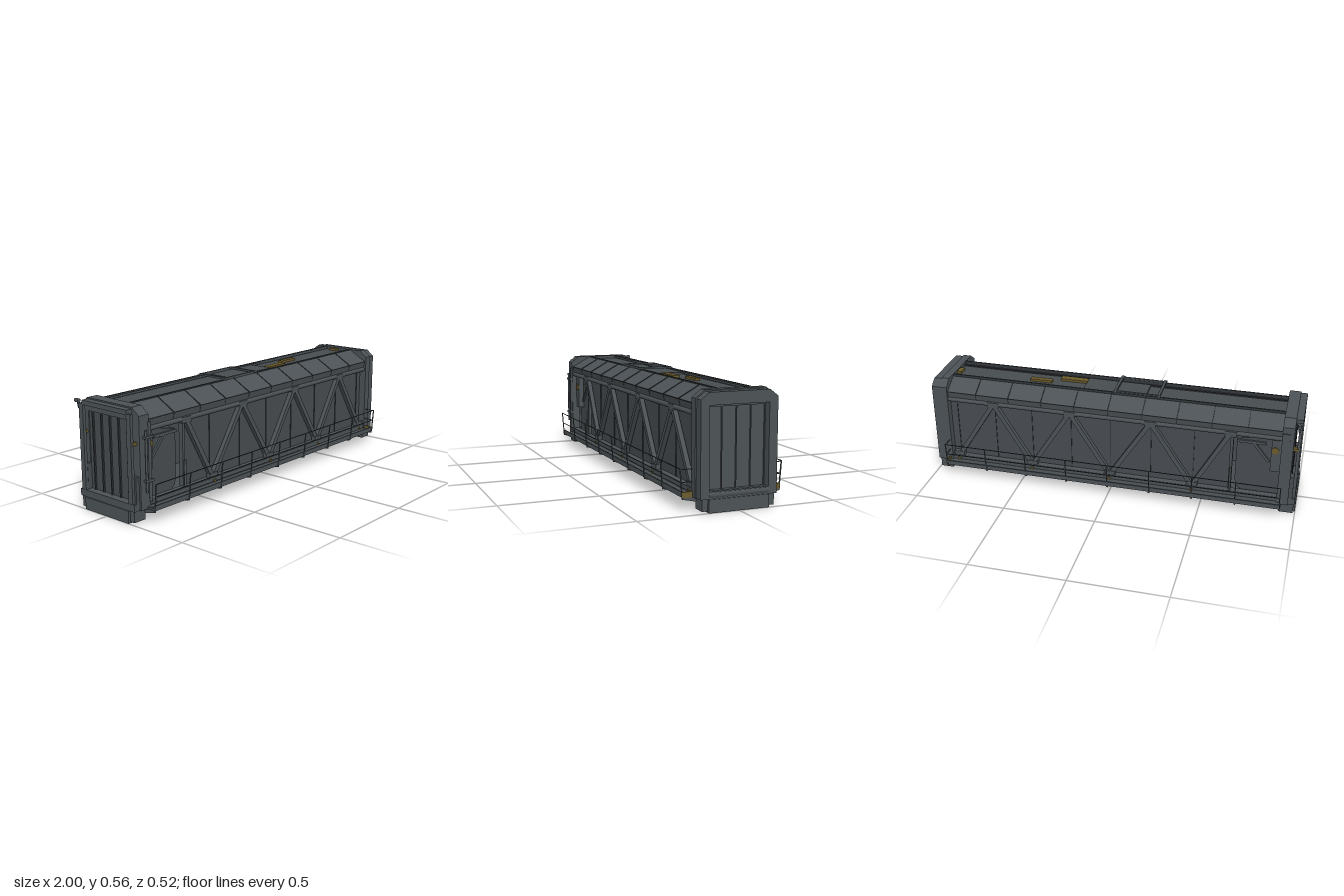
import * as THREE from 'three';

export function createModel() {
  const root = new THREE.Group();
  root.name = 'coveredConveyorModule';
  const mat = (name, color) => {
    const m = new THREE.MeshStandardMaterial({ color, side: THREE.DoubleSide });
    m.name = name;
    return m;
  };
  const frame = mat('frame grey', 0x4c5256);
  const wall = mat('wall grey', 0x474c50);
  const dark = mat('dark grey', 0x34383b);
  const olive = mat('olive', 0x6b5b2b);

  const add = (name, geo, m, parent = root) => {
    const mesh = new THREE.Mesh(geo, m);
    mesh.name = name;
    parent.add(mesh);
    return mesh;
  };
  // box from its minimum and maximum corners
  const box = (name, x0, x1, y0, y1, z0, z1, m, parent) =>
    add(name, new THREE.BoxGeometry(x1 - x0, y1 - y0, z1 - z0)
      .translate((x0 + x1) / 2, (y0 + y1) / 2, (z0 + z1) / 2), m, parent);
  // square or round bar between two points
  const bar = (name, a, b, w, m, parent, round = false) => {
    const p = new THREE.Vector3(...a), q = new THREE.Vector3(...b);
    const len = p.distanceTo(q);
    const geo = round ? new THREE.CylinderGeometry(w / 2, w / 2, len, 12) : new THREE.BoxGeometry(w, len, w);
    const mesh = add(name, geo, m, parent);
    mesh.position.copy(p).add(q).multiplyScalar(0.5);
    mesh.quaternion.setFromUnitVectors(new THREE.Vector3(0, 1, 0), q.sub(p).normalize());
    return mesh;
  };
  // outline of [z, y] points swept along x
  const poly = (pts) => pts.map(([z, y]) => new THREE.Vector2(-z, y));
  const sweep = (name, pts, x0, x1, m, hole, parent) => {
    const s = new THREE.Shape(poly(pts));
    if (hole) s.holes.push(new THREE.Path(poly(hole)));
    const g = new THREE.ExtrudeGeometry(s, { depth: x1 - x0, bevelEnabled: false });
    return add(name, g.rotateY(Math.PI / 2).translate(x0, 0, 0), m, parent);
  };
  const portal = (i) => [[-0.2 + i, 0.065], [0.2 - i, 0.065], [0.2 - i, 0.52 - i / 2], [0.155 - i / 2, 0.555 - i],
    [-0.155 + i / 2, 0.555 - i], [-0.2 + i, 0.52 - i / 2]];
  const opening = [[-0.15, 0.1], [0.15, 0.1], [0.15, 0.49], [-0.15, 0.49]];

  // closed end portal, stepped in towards the outside
  const endA = new THREE.Group();
  endA.name = 'closedEnd';
  root.add(endA);
  sweep('portalFrame', portal(0), 0.908, 0.95, frame, opening, endA);
  sweep('portalRim', portal(0.006), 0.95, 0.995, frame, opening, endA);
  box('endDoor', 0.945, 0.955, 0.1, 0.49, -0.15, 0.15, frame, endA);
  for (const z of [-0.145, -0.073, 0, 0.073, 0.147])
    box('doorSeam', 0.955, 0.96, 0.1, 0.48, z - 0.0025, z + 0.0025, wall, endA);
  for (const z of [-0.07, 0, 0.075])
    box('doorGroove', 0.955, 0.957, 0.1, 0.48, z - 0.004, z - 0.002, dark, endA);
  box('doorTopRail', 0.955, 0.962, 0.478, 0.49, -0.15, 0.15, wall, endA);
  bar('roundedSill', [0.98, 0.083, -0.152], [0.98, 0.083, 0.152], 0.038, frame, endA, true);
  box('bumper', 0.945, 1, 0.002, 0.065, -0.153, 0.153, frame, endA);

  // service end portal with outer door frame
  const endB = new THREE.Group();
  endB.name = 'serviceEnd';
  root.add(endB);
  sweep('portalFrame', portal(0), -0.96, -0.9, frame, opening, endB);
  box('endWall', -0.955, -0.945, 0.1, 0.49, -0.15, 0.15, wall, endB);
  for (let i = -2; i <= 2; i++)
    box('wallSlat', -0.963, -0.955, 0.1, 0.49, i * 0.06 - 0.004, i * 0.06 + 0.004, dark, endB);
  box('bumper', -1, -0.95, 0.002, 0.065, -0.153, 0.153, frame, endB);
  box('outerSill', -0.995, -0.96, 0.065, 0.1, -0.19, 0.19, frame, endB);
  box('outerHeader', -0.995, -0.96, 0.525, 0.548, -0.155, 0.155, frame, endB);
  for (const s of [-1, 1]) {
    box('outerPost', -0.994, -0.978, 0.1, 0.53, s * 0.165 - 0.014, s * 0.165 + 0.014, frame, endB);
    box('lowerBracket', -0.98, -0.95, 0.1, 0.23, s * 0.17 - 0.02, s * 0.17 + 0.02, wall, endB);
    box('hinge', -0.985, -0.95, 0.38, 0.395, s * 0.17 - 0.012, s * 0.17 + 0.012, olive, endB);
  }
  // lamp on the back corner
  bar('lampStalk', [-0.98, 0.5, -0.19], [-0.98, 0.535, -0.2], 0.01, frame, endB);
  bar('lampHead', [-0.98, 0.536, -0.193], [-0.98, 0.536, -0.218], 0.02, frame, endB, true);

  // feet under both portals
  for (const sx of [-1, 1]) for (const sz of [-1, 1])
    box('foot', sx * 0.955 - 0.035, sx * 0.955 + 0.035, 0.01, 0.1, sz * 0.169 - 0.014, sz * 0.169 + 0.014, frame);

  // floor with centre beam and cross ribs
  box('floor', -0.92, 0.93, 0.068, 0.085, -0.19, 0.19, wall);
  box('centreBeam', -0.91, 0.94, 0.012, 0.07, -0.012, 0.012, frame);
  const stations = [];
  for (let i = 0; i < 9; i++) stations.push(-0.92 + i * 0.23);
  const rib = [[0, 0.01], [0.06, 0.012], [0.18, 0.042], [0.25, 0.057], [0.25, 0.067], [-0.25, 0.067],
    [-0.25, 0.057], [-0.18, 0.042], [-0.06, 0.012]];
  for (const x of stations) sweep('floorRib', rib, x - 0.004, x + 0.004, frame);

  // roof centre panel, rails and hatch
  box('roofCentre', -0.92, 0.92, 0.532, 0.539, -0.1, 0.1, wall);
  for (const z of [-0.095, 0.078]) box('roofRail', -0.9, 0.91, 0.539, 0.557, z - 0.004, z + 0.004, dark);
  box('roofRidge', -0.9, 0.91, 0.539, 0.545, 0.05, 0.056, dark);
  box('roofSheet', -0.17, 0.17, 0.539, 0.55, -0.09, 0.05, wall);
  for (const [x0, x1] of [[-0.25, -0.235], [-0.015, 0]])
    sweep('hatchFrame', [[-0.105, 0.556], [0.105, 0.556], [0.09, 0.566], [-0.09, 0.566]], x0, x1, wall);
  for (const z of [-0.09, 0.08]) box('hatchRail', -0.25, 0, 0.55, 0.564, z - 0.005, z + 0.005, frame);
  const marks = [[0.17, 0.32, 0, 0.038], [0.36, 0.48, -0.042, -0.014], [0.88, 0.905, -0.05, 0]];
  for (const [x0, x1, z0, z1] of marks) box('roofMarking', x0, x1, 0.539, 0.552, z0, z1, olive);

  for (const s of [-1, 1]) {
    const side = new THREE.Group();
    side.name = s > 0 ? 'frontSide' : 'backSide';
    root.add(side);
    const zbox = (name, x0, x1, y0, y1, z0, z1, m) =>
      box(name, x0, x1, y0, y1, Math.min(s * z0, s * z1), Math.max(s * z0, s * z1), m, side);

    // side wall, stopping short of the machine bay
    zbox('sideWall', -0.65, 0.93, 0.08, 0.46, 0.15, 0.16, wall);
    zbox('bayLintel', -0.92, -0.65, 0.437, 0.46, 0.15, 0.16, wall);
    zbox('bayPost', -0.655, -0.64, 0.08, 0.45, 0.15, 0.175, frame);
    for (const x of [-0.45, -0.22, 0, 0.22, 0.44, 0.65, 0.87])
      zbox('wallSeam', x - 0.002, x + 0.002, 0.09, 0.44, 0.16, 0.164, dark);

    // truss
    bar('topChord', [-0.91, 0.445, s * 0.18], [0.93, 0.445, s * 0.18], 0.026, frame, side, true);
    zbox('bottomChord', -0.91, 0.93, 0.08, 0.102, 0.158, 0.195, frame);
    const nodes = [-0.64, -0.45, -0.22, 0, 0.22, 0.44, 0.65, 0.87];
    nodes.forEach((x, i) => {
      const y = i % 2 ? 0.1 : 0.445;
      if (i) bar('diagonal', [nodes[i - 1], i % 2 ? 0.445 : 0.1, s * 0.177], [x, y, s * 0.177], 0.024, frame, side);
      zbox('gusset', x - 0.03, x + 0.03, i % 2 ? 0.09 : 0.425, i % 2 ? 0.125 : 0.455, 0.168, 0.192, frame);
      if (i % 2) zbox('gussetTag', x - 0.008, x + 0.008, 0.078, 0.09, 0.195, 0.2, olive);
    });

    // sloping roof cladding with panel seams
    const prof = (o) => [[0.185, 0.458], [0.192 + o, 0.492 + o], [0.085, 0.552 + o],
      [0.085, 0.542], [0.18, 0.485], [0.175, 0.458]].map(([z, y]) => [s * z, y]);
    sweep('roofCladding', prof(0), -0.91, 0.93, frame, null, side);
    for (let i = 1; i < 10; i++) {
      const x = -0.91 + i * 0.184;
      sweep('roofSeam', prof(0.003), x - 0.002, x + 0.002, dark, null, side);
    }
    bar('eavesLine', [-0.91, 0.492, s * 0.193], [0.92, 0.492, s * 0.193], 0.004, dark, side);

    // walkway and railing
    zbox('walkway', -0.92, 0.92, 0.065, 0.075, 0.185, 0.248, wall);
    zbox('walkwayEdge', -0.92, 0.92, 0.065, 0.09, 0.243, 0.25, frame);
    zbox('walkwayGrating', -0.92, 0.92, 0.075, 0.078, 0.222, 0.243, dark);
    zbox('walkwayEndPlate', 0.92, 0.926, 0.065, 0.092, 0.198, 0.252, olive);
    for (const x of stations) bar('railPost', [x, 0.065, s * 0.25], [x, 0.2, s * 0.26], 0.005, frame, side);
    for (const [y, z] of [[0.198, 0.26], [0.136, 0.255]])
      bar('handrail', [-0.92, y, s * z], [0.92, y, s * z], 0.0035, dark, side);
    for (const y of [0.136, 0.195]) bar('railReturn', [0.92, y, s * 0.197], [0.92, y, s * 0.257], 0.004, frame, side);

    // bay fittings
    zbox('bayCabinet', -0.905, -0.85, 0.24, 0.43, 0.14, 0.17, frame);
    bar('oliveDial', [-0.87, 0.365, s * 0.165], [-0.87, 0.365, s * 0.176], 0.038, olive, side, true);
    bar('bayPipe', [-0.65, 0.1, s * 0.185], [-0.65, 0.24, s * 0.185], 0.012, frame, side, true);
    bar('hopperBrace', [-0.84, 0.28, s * 0.144], [-0.75, 0.39, s * 0.144], 0.014, frame, side);
    zbox('hopperTrim', -0.82, -0.67, 0.378, 0.392, 0.139, 0.151, frame);
  }

  // machine hopper in the bay
  const hopper = new THREE.Shape([[-0.905, 0.085], [-0.71, 0.085], [-0.68, 0.11], [-0.67, 0.15], [-0.67, 0.395],
    [-0.75, 0.412], [-0.87, 0.432], [-0.905, 0.435]].map((p) => new THREE.Vector2(...p)));
  add('hopper', new THREE.ExtrudeGeometry(hopper, { depth: 0.28, bevelEnabled: false }).translate(0, 0, -0.14), wall);

  // vertical pipes on the front service corner
  bar('tallPipe', [-0.93, 0.15, 0.212], [-0.93, 0.45, 0.212], 0.012, frame, root, true);
  bar('sidePipe', [-0.9, 0.1, 0.204], [-0.9, 0.485, 0.204], 0.014, frame, root, true);
  for (const y of [0.2, 0.41]) box('pipeClamp', -0.94, -0.89, y, y + 0.012, 0.195, 0.219, frame);
  box('backCornerBox', -0.94, -0.9, 0.44, 0.485, -0.206, -0.198, frame);

  return root;
}
